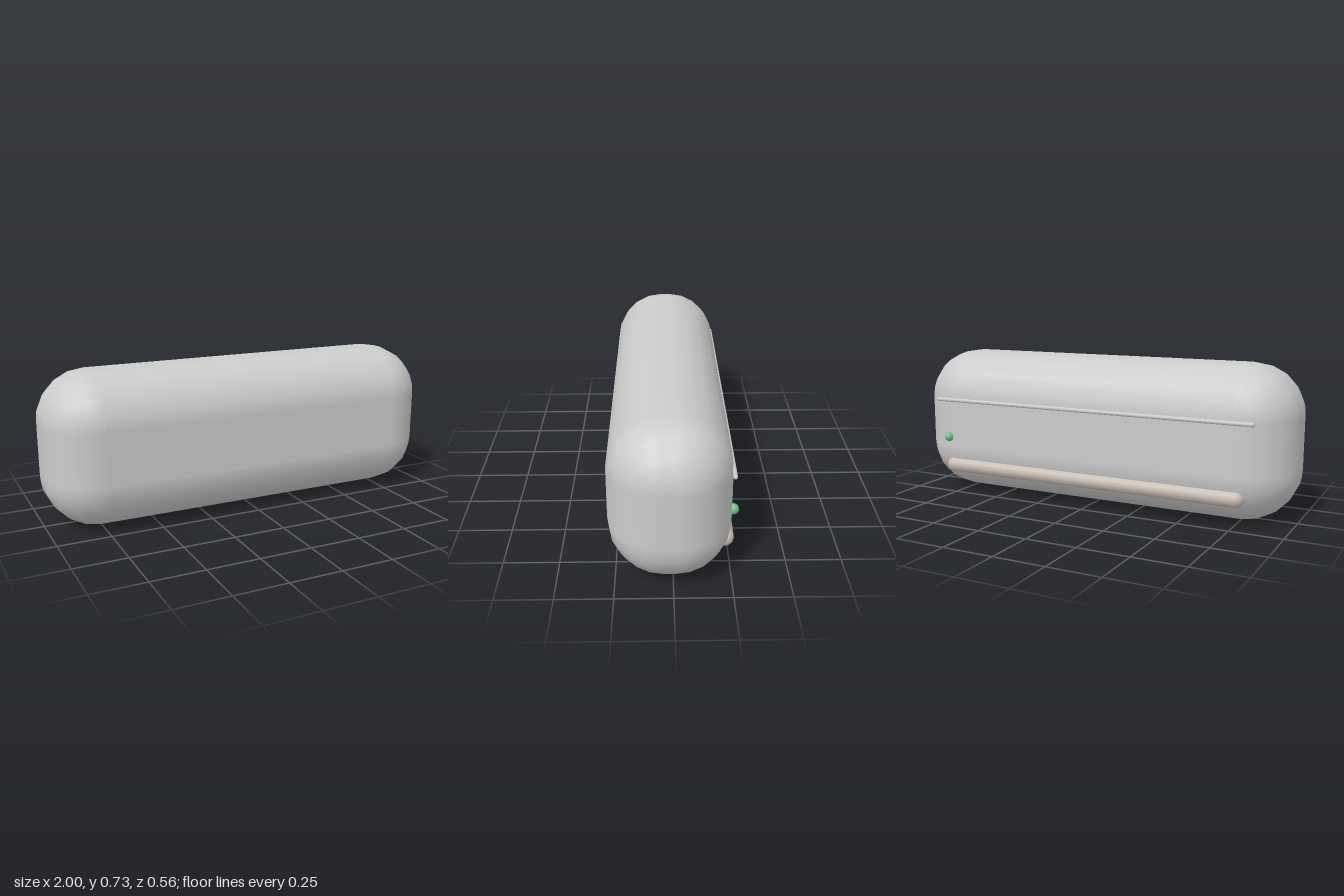
import * as THREE from 'three';

// Box with five-step rounded edges: a grid wrapped around the x axis,
// with rings of an ellipsoid-like shell pulled apart along each axis.
function bevelledBox(w, h, d, r) {
  const geo = new THREE.PlaneGeometry(1, 1, 24, 13);
  const pos = geo.attributes.position, nor = geo.attributes.normal;
  const step = Math.PI / 10;
  const cx = w / 2 - r, cy = h / 2 - r, cz = d / 2 - r;
  for (let row = 0; row <= 13; row++) {
    const cap = row === 0 || row === 13; // rows closing the flat ends
    const phi = row <= 6 ? Math.max(row - 1, 0) * step : Math.min(row - 2, 10) * step;
    const sx = row <= 6 ? 1 : -1;
    for (let col = 0; col <= 24; col++) {
      const quarter = Math.floor(col / 6) % 4;
      const theta = (quarter * 5 + (col % 6)) * step;
      const sy = quarter === 0 || quarter === 3 ? 1 : -1;
      const sz = quarter < 2 ? 1 : -1;
      const n = new THREE.Vector3(
        Math.cos(phi), Math.sin(phi) * Math.cos(theta), Math.sin(phi) * Math.sin(theta));
      const i = row * 25 + col;
      nor.setXYZ(i, n.x, n.y, n.z);
      pos.setXYZ(i, sx * cx + n.x * r,
        cap ? 0 : sy * cy + n.y * r,
        cap ? 0 : sz * cz + n.z * r);
    }
  }
  return geo;
}

export function createModel() {
  const group = new THREE.Group();
  const grey = new THREE.MeshStandardMaterial({ color: 0xcccccc });
  const warm = new THREE.MeshStandardMaterial({ color: 0xc9beb4 });
  const green = new THREE.MeshStandardMaterial({ color: 0x6fc48a });

  const add = (name, geo, mat, x, y, z) => {
    const mesh = new THREE.Mesh(geo, mat);
    mesh.name = name;
    mesh.position.set(x, y, z);
    group.add(mesh);
    return mesh;
  };

  // Round-ended bar lying along x
  const bar = (length, r, sides) =>
    new THREE.CapsuleGeometry(r, length - 2 * r, 4, sides).rotateZ(Math.PI / 2);

  // Main casing
  add('body', bevelledBox(2, 0.733, 0.536, 0.244), grey, 0, 0.3665, 0.014);

  // Details on the back
  add('seamStrip', bar(1.71, 0.01, 10), grey, 0, 0.49, -0.253);
  add('lowerBar', bar(1.62, 0.04, 12), warm, 0, 0.144, -0.225);
  add('indicatorLight', new THREE.SphereGeometry(0.024, 10, 8), green, 0.78, 0.294, -0.257);

  return group;
}
